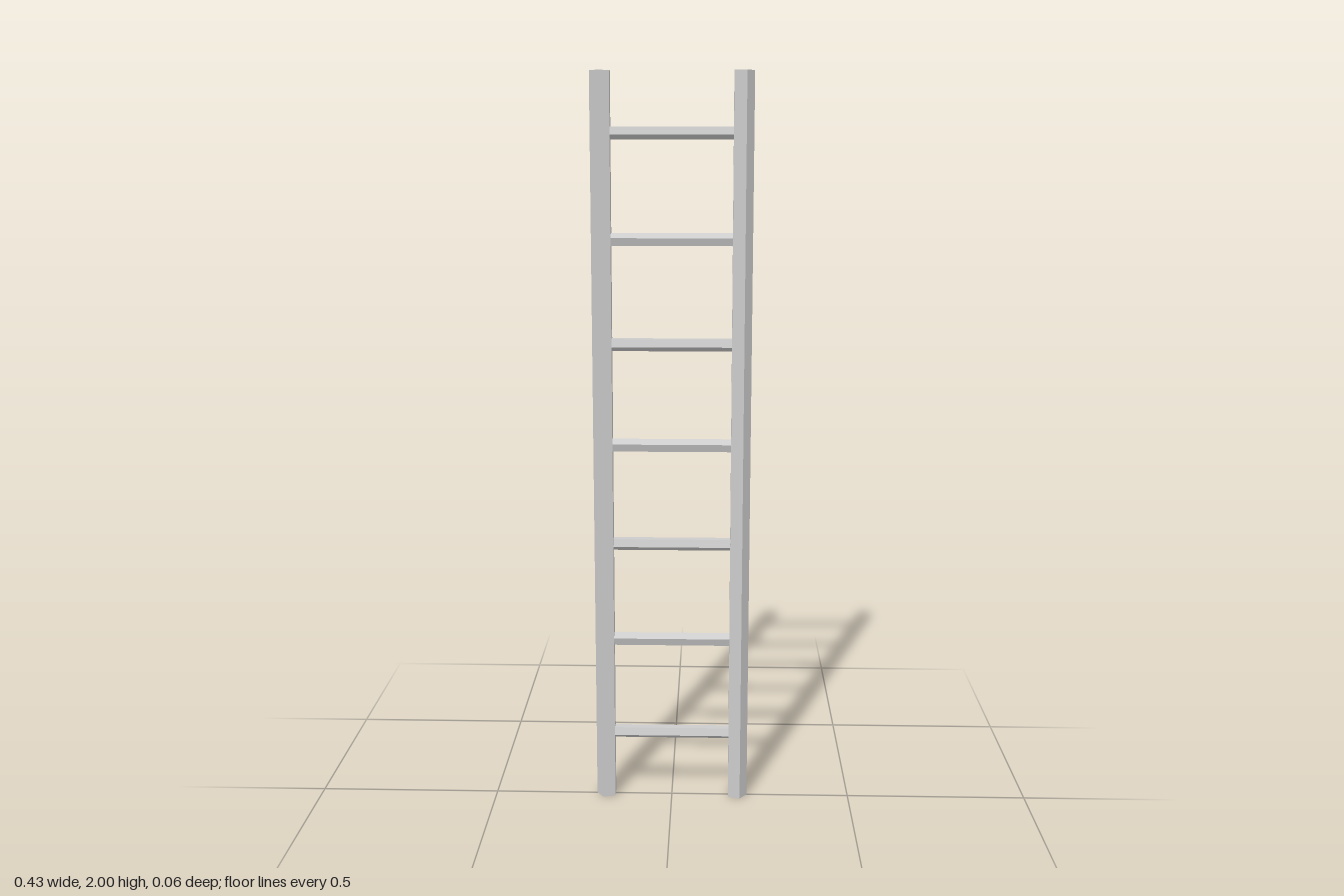
import * as THREE from 'three';

const RAIL_RADIUS = 0.0292, RAIL_X = 0.1838, HEIGHT = 2;
const RUNG_RADIUS = 0.0185, RUNG_LENGTH = 0.324, RUNG_COUNT = 7;
const FIRST_RUNG = 0.19, RUNG_STEP = 0.2758;

export function createModel() {
  const ladder = new THREE.Group();
  ladder.name = 'ladder';
  const material = new THREE.MeshStandardMaterial({ color: 0xcccccc, flatShading: true });

  // Five-sided bar along y with one corner pointing to +x (side 1) or -x (side -1)
  const pentagonBar = (radius, length, side) =>
    new THREE.CylinderGeometry(radius, radius, length, 5, 1, false, side * Math.PI / 2);

  const add = (geometry, name, x, y) => {
    const mesh = new THREE.Mesh(geometry, material);
    mesh.name = name;
    mesh.position.set(x, y, 0);
    ladder.add(mesh);
  };

  // Side rails, corner outward and flat face inward
  for (const side of [1, -1]) {
    add(pentagonBar(RAIL_RADIUS, HEIGHT, side), side > 0 ? 'leftRail' : 'rightRail', side * RAIL_X, HEIGHT / 2);
  }

  // Rungs, alternately flat side up and corner up
  for (let i = 0; i < RUNG_COUNT; i++) {
    const geometry = pentagonBar(RUNG_RADIUS, RUNG_LENGTH, i % 2 ? 1 : -1).rotateZ(Math.PI / 2);
    add(geometry, `rung${i + 1}`, 0, FIRST_RUNG + i * RUNG_STEP);
  }

  return ladder;
}
